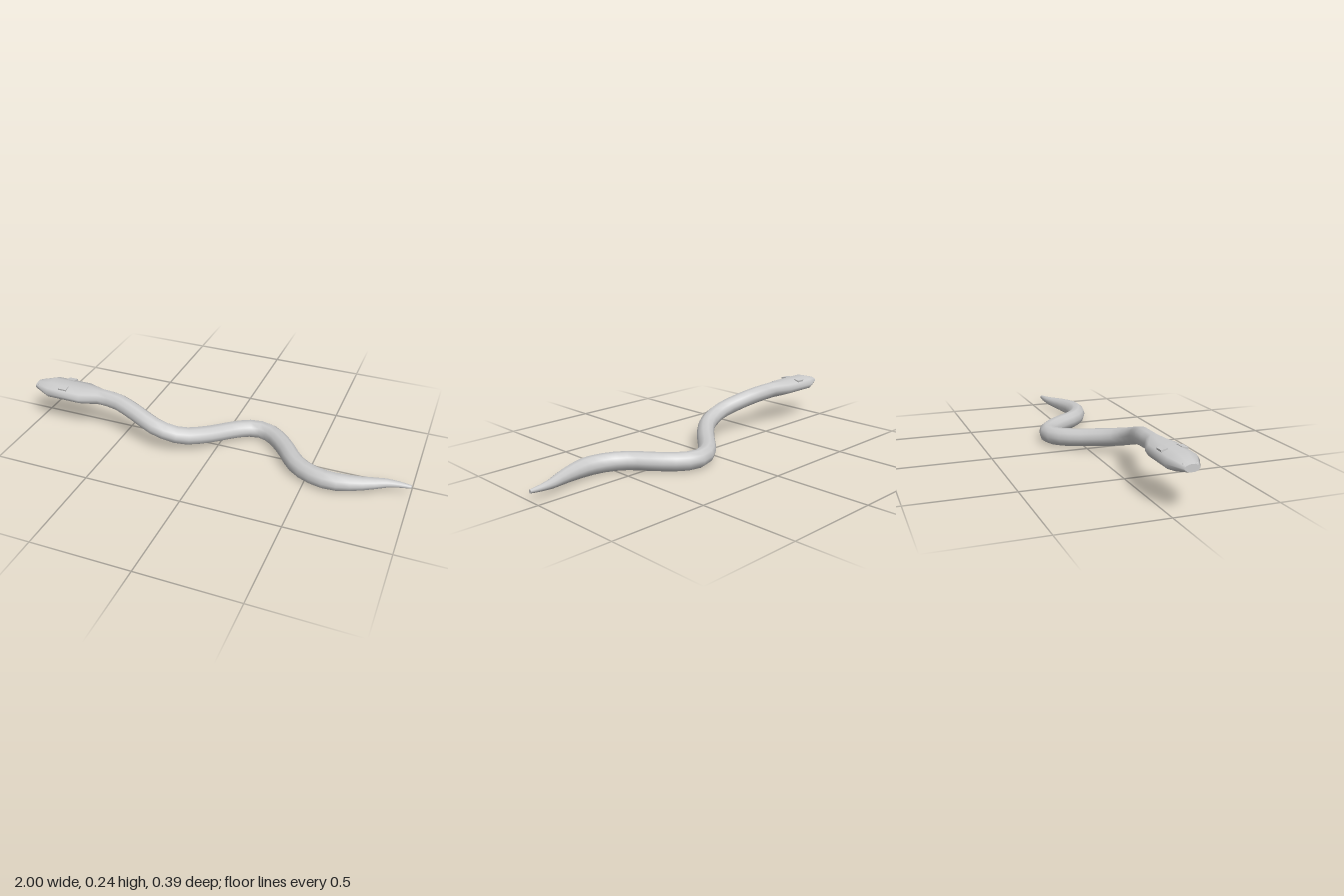
import * as THREE from 'three';

const SIDES = 10;
const lerp = THREE.MathUtils.lerp;

// Elliptical ring of points, square to the direction of travel
function ringPoints({ p, t, w, h }) {
  const side = new THREE.Vector3(0, 1, 0).cross(t).normalize();
  const up = t.clone().cross(side).normalize();
  return Array.from({ length: SIDES }, (_, i) => {
    const a = (i / SIDES) * Math.PI * 2;
    return p.clone().addScaledVector(side, Math.cos(a) * w).addScaledVector(up, Math.sin(a) * h);
  });
}

// Smooth skin through the rings, with flat end caps
function skin(rings) {
  const loops = rings.map(ringPoints);
  const points = loops.flat();
  const index = [];
  for (let r = 0; r < loops.length - 1; r++) {
    for (let i = 0; i < SIDES; i++) {
      const a = r * SIDES + i, b = r * SIDES + (i + 1) % SIDES;
      index.push(a, b, b + SIDES, a, b + SIDES, a + SIDES);
    }
  }
  const cap = (loop, flip) => {
    const base = points.length;
    points.push(...loop);
    for (let i = 1; i < SIDES - 1; i++) {
      index.push(base, base + (flip ? i + 1 : i), base + (flip ? i : i + 1));
    }
  };
  cap(loops[0], true);
  cap(loops[loops.length - 1], false);
  const geometry = new THREE.BufferGeometry().setFromPoints(points);
  geometry.setIndex(index);
  geometry.computeVertexNormals();
  return geometry;
}

// Body thickness by position along x: even, then a tapering tail
function bodyRadius(x) {
  if (x < 0.2) return lerp(0.043, 0.0465, (x + 0.63) / 0.83);
  if (x < 0.63) return 0.0465;
  if (x < 0.9) return lerp(0.0465, 0.021, Math.pow((x - 0.63) / 0.27, 1.3));
  return lerp(0.021, 0.009, (x - 0.9) / 0.1);
}

export function createModel() {
  const snake = new THREE.Group();
  snake.name = 'snake';
  const material = new THREE.MeshStandardMaterial({ color: 0xcccccc });

  const add = (name, geometry) => {
    const mesh = new THREE.Mesh(geometry, material);
    mesh.name = name;
    snake.add(mesh);
    return mesh;
  };

  // Head: x, half width, half height from snout to neck
  const forward = new THREE.Vector3(1, 0, 0);
  const rings = [
    [-1, 0.036, 0.018],
    [-0.91, 0.08, 0.042],
    [-0.72, 0.08, 0.042],
  ].map(([x, w, h]) => ({ p: new THREE.Vector3(x, 0.2, 0.08), t: forward, w, h }));

  // Body: winding centre line from neck to tail tip
  const path = new THREE.CatmullRomCurve3([
    [-0.63, 0.2, 0.08], [-0.52, 0.194, 0.087], [-0.4, 0.168, 0.118],
    [-0.28, 0.132, 0.146], [-0.16, 0.096, 0.122], [-0.05, 0.072, 0.03],
    [0.04, 0.057, -0.07], [0.11, 0.05, -0.13], [0.18, 0.046, -0.151],
    [0.25, 0.0445, -0.13], [0.34, 0.0445, -0.048], [0.435, 0.0445, 0.07],
    [0.52, 0.0445, 0.124], [0.63, 0.0445, 0.146], [0.77, 0.046, 0.115],
    [0.9, 0.048, 0.066], [1, 0.048, 0.058],
  ].map((v) => new THREE.Vector3(...v)));
  const steps = 32;
  for (let i = 0; i <= steps; i++) {
    const p = path.getPointAt(i / steps);
    const t = i === 0 || i === steps ? forward : path.getTangentAt(i / steps);
    const r = bodyRadius(p.x);
    rings.push({ p, t, w: r, h: r });
  }
  add('body', skin(rings));

  for (const s of [-1, 1]) {
    const label = s < 0 ? 'left' : 'right';
    // Eye: small block set into the sloping top of the head
    const eye = add(label + 'Eye', new THREE.BoxGeometry(0.046, 0.014, 0.032));
    eye.position.set(-0.822, 0.2315, 0.078 + s * 0.046);
    eye.rotation.x = s * 0.2;
    // Nostril: tiny bump beside the snout tip
    const nostril = add(label + 'Nostril', new THREE.SphereGeometry(0.005, 8, 6));
    nostril.position.set(-0.982, 0.213, 0.08 + s * 0.03);
  }
  return snake;
}
